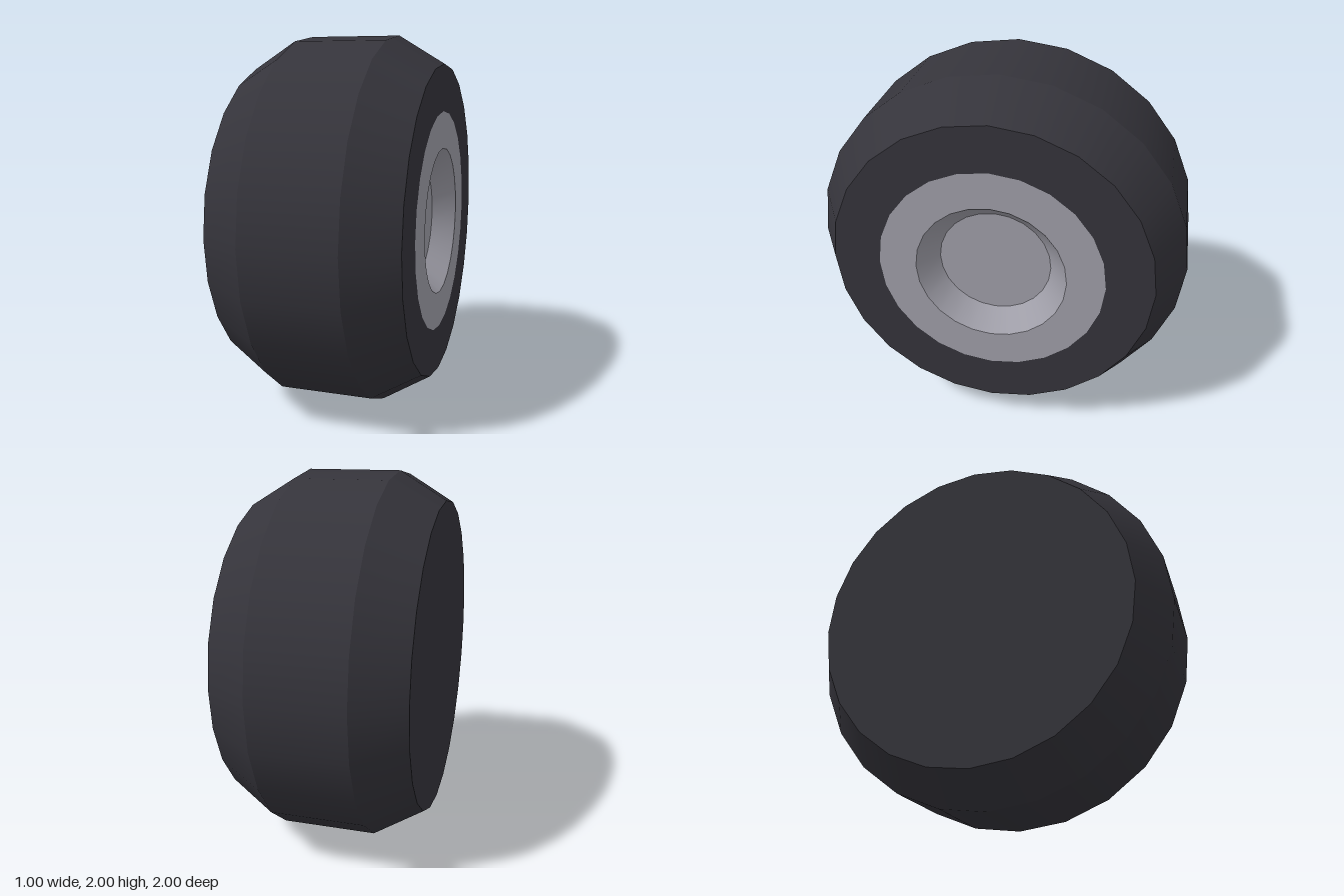
import * as THREE from 'three';
import { mergeGeometries } from 'three/addons/utils/BufferGeometryUtils.js';

const SIDES = 24;

// Revolve a profile of [radius, x] points about the axle, with a sharp crease at every point
function revolve(profile) {
  const bands = [];
  for (let i = 0; i < profile.length - 1; i++) {
    const pair = [profile[i], profile[i + 1]].map(([r, x]) => new THREE.Vector2(r, x));
    bands.push(new THREE.LatheGeometry(pair, SIDES));
  }
  return mergeGeometries(bands).rotateZ(-Math.PI / 2);
}

export function createModel() {
  const rubber = new THREE.MeshStandardMaterial({ color: 0x35343b });
  rubber.name = 'darkRubber';
  const metal = new THREE.MeshStandardMaterial({ color: 0xa09fa9 });
  metal.name = 'greyMetal';

  const wheel = new THREE.Group();
  wheel.name = 'wheel';

  const add = (name, profile, material) => {
    const mesh = new THREE.Mesh(revolve(profile), material);
    mesh.name = name;
    mesh.position.y = 1;
    wheel.add(mesh);
  };

  // Tyre: closed inner side, bevelled shoulders, flat tread and outer sidewall
  add('tyre', [
    [0, -0.5], [0.85, -0.5], [1, -0.25], [1, 0.25], [0.85, 0.5], [0.6, 0.5],
  ], rubber);

  // Hub: flush ring, sloped recess wall and recessed floor
  add('hub', [[0.6, 0.5], [0.4, 0.5], [0.3, 0.38], [0, 0.38]], metal);

  return wheel;
}
